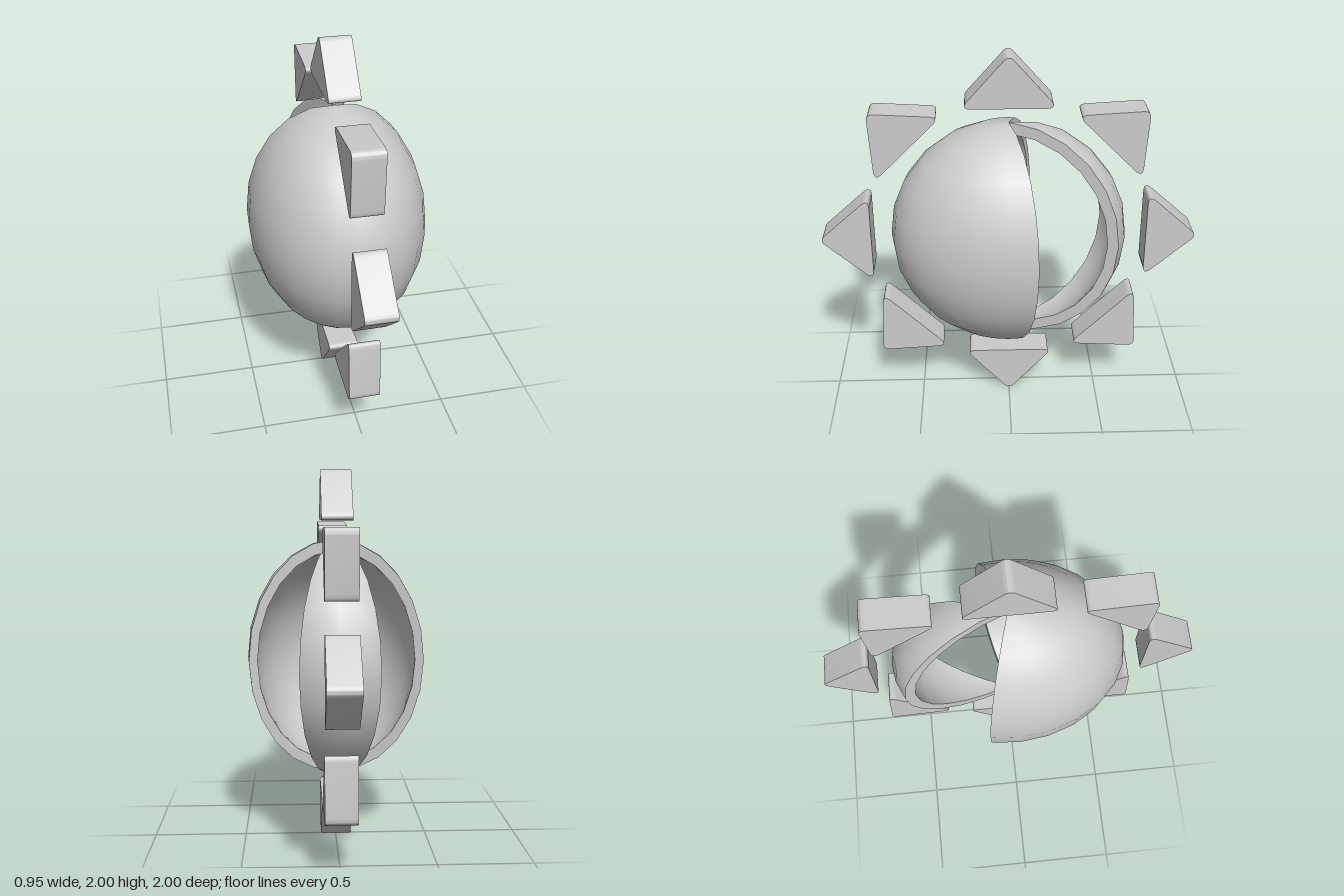
import * as THREE from 'three';
import { toCreasedNormals } from 'three/addons/utils/BufferGeometryUtils.js';

const grey = new THREE.MeshStandardMaterial({ color: 0xcccccc });
const greyDouble = new THREE.MeshStandardMaterial({ color: 0xcccccc, side: THREE.DoubleSide });
const R_OUT = 0.634, R_IN = 0.572, SQUASH = 0.75, RINGS = 12;

// half circle from bottom pole to top pole
function arc(r) {
  return Array.from({ length: RINGS + 1 }, (_, i) => {
    const a = -Math.PI / 2 + (i / RINGS) * Math.PI;
    return new THREE.Vector2(i % RINGS ? r * Math.cos(a) : 0, r * Math.sin(a));
  });
}

// thick slice of a hollow squashed sphere, angles measured from +z towards +x
function shellSlice(name, startDeg, spanDeg, segments) {
  const group = new THREE.Group();
  group.name = name;
  const start = THREE.MathUtils.degToRad(startDeg);
  const span = THREE.MathUtils.degToRad(spanDeg);
  const add = (part, geometry, material) => {
    geometry.scale(SQUASH, 1, 1);
    const mesh = new THREE.Mesh(geometry, material);
    mesh.name = part;
    group.add(mesh);
  };
  add('outerSurface', new THREE.LatheGeometry(arc(R_OUT), segments, start, span), grey);
  add('innerSurface', new THREE.LatheGeometry(arc(R_IN).reverse(), segments, start, span), grey);

  // flat cut faces closing the wall at both ends
  const wall = new THREE.Shape([...arc(R_OUT), ...arc(R_IN).reverse()]);
  for (const phi of [start, start + span]) {
    add('cutFace', new THREE.ShapeGeometry(wall).rotateY(phi - Math.PI / 2), greyDouble);
  }
  group.position.y = 1;
  return group;
}

// triangular ray with rounded corners, pointing up, base facing the centre
function rayGeometry() {
  const corners = [[0.248, 0.737, 0.06], [0, 1.015, 0.04], [-0.248, 0.737, 0.06]]
    .map(([x, y, cut]) => ({ p: new THREE.Vector2(x, y), cut }));
  const shape = new THREE.Shape();
  corners.forEach(({ p, cut }, i) => {
    const towards = (q) => q.clone().sub(p).setLength(cut).add(p);
    const a = towards(corners[(i + 2) % 3].p);
    const b = towards(corners[(i + 1) % 3].p);
    if (i === 0) shape.moveTo(a.x, a.y);
    else shape.lineTo(a.x, a.y);
    shape.quadraticCurveTo(p.x, p.y, b.x, b.y);
  });
  shape.closePath();
  const geometry = new THREE.ExtrudeGeometry(shape, { depth: 0.164, bevelEnabled: false, curveSegments: 8 });
  geometry.translate(0, 0, -0.082).rotateY(Math.PI / 2);
  return toCreasedNormals(geometry, 0.6);
}

export function createModel() {
  const model = new THREE.Group();
  model.name = 'sunOrb';

  // large front shell and narrow back strip, with an open gap on each side
  model.add(shellSlice('frontShell', -102.8, 205.6, 14));
  model.add(shellSlice('backStrip', 155, 50, 4));

  // eight rays around the orb
  const ray = rayGeometry();
  for (let i = 0; i < 8; i++) {
    const mesh = new THREE.Mesh(ray, grey);
    mesh.name = 'ray';
    mesh.position.y = 1;
    mesh.rotation.x = (i * Math.PI) / 4;
    model.add(mesh);
  }
  return model;
}
